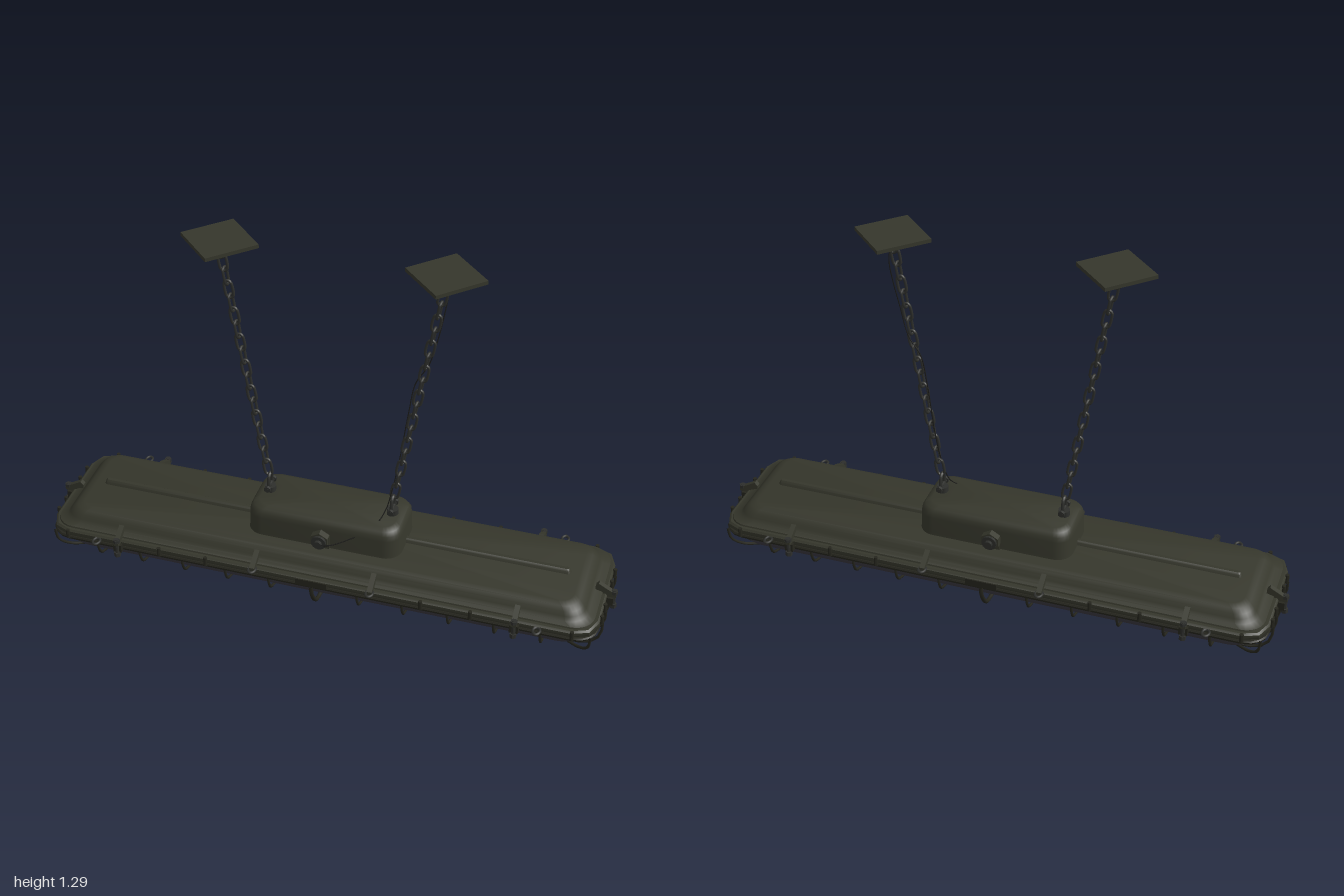
import * as THREE from 'three';
import { toCreasedNormals } from 'three/addons/utils/BufferGeometryUtils.js';

const V = (x, y, z) => new THREE.Vector3(x, y, z);
const mat = (name, color) => Object.assign(new THREE.MeshStandardMaterial({ color }), { name });

// Closed loft through rounded rectangles, listed bottom to top as [halfX, halfZ, cornerRadius, y]
function loft(sections, seg = 6, crease = 0.6) {
  const pos = [], idx = [];
  const n = 4 * (seg + 1);
  for (const [hx, hz, r, y] of sections) {
    for (let q = 0; q < 4; q++) {
      const sx = q === 0 || q === 3 ? 1 : -1, sz = q < 2 ? 1 : -1;
      for (let k = 0; k <= seg; k++) {
        const a = (q + k / seg) * Math.PI / 2;
        pos.push(sx * (hx - r) + r * Math.cos(a), y, sz * (hz - r) + r * Math.sin(a));
      }
    }
  }
  const last = sections.length - 1, c = (last + 1) * n;
  pos.push(0, sections[0][3], 0, 0, sections[last][3], 0);
  for (let j = 0; j < n; j++) {
    const k = (j + 1) % n;
    for (let i = 0; i < last; i++) {
      const a = i * n + j, b = i * n + k;
      idx.push(a, a + n, b, b, a + n, b + n);
    }
    idx.push(c, j, k, c + 1, last * n + k, last * n + j);
  }
  const g = new THREE.BufferGeometry();
  g.setAttribute('position', new THREE.Float32BufferAttribute(pos, 3));
  g.setIndex(idx);
  return toCreasedNormals(g, crease);
}

const wire = (pts, r, closed = false, steps = 28, sides = 6) =>
  new THREE.TubeGeometry(new THREE.CatmullRomCurve3(pts, closed, 'centripetal'), steps, r, sides, closed);

export function createModel() {
  const model = new THREE.Group();
  model.name = 'hangingLamp';
  const paint = mat('olivePaint', 0x35362b);
  const glass = mat('smokedGlass', 0x3a3840);
  const cageMetal = mat('darkCageMetal', 0x25251d);
  const steel = mat('chainSteel', 0x2d2e2b);
  const rubber = mat('blackRubber', 0x1c1c1a);

  const add = (name, geo, material, parent = model, x = 0, y = 0, z = 0) => {
    const m = new THREE.Mesh(geo, material);
    m.name = name;
    m.position.set(x, y, z);
    parent.add(m);
    return m;
  };
  const group = (name, parent = model) => {
    const g = new THREE.Group();
    g.name = name;
    parent.add(g);
    return g;
  };
  const cyl = (r, h, sides = 12) => toCreasedNormals(new THREE.CylinderGeometry(r, r, h, sides), 0.6);

  // Housing, rim, seal and glass
  add('housing', loft([
    [0.955, 0.218, 0.075, 0.15], [0.95, 0.212, 0.07, 0.165], [0.925, 0.197, 0.065, 0.172],
    [0.915, 0.188, 0.06, 0.185], [0.905, 0.18, 0.055, 0.198], [0.89, 0.168, 0.05, 0.21], [0.87, 0.15, 0.045, 0.216],
  ], 6, 0.75), paint);
  add('rim', loft([[0.962, 0.226, 0.075, 0.136], [0.966, 0.23, 0.078, 0.142],
    [0.966, 0.23, 0.078, 0.154], [0.96, 0.224, 0.075, 0.16]], 2), paint);
  add('seal', loft([[0.955, 0.219, 0.075, 0.122], [0.955, 0.219, 0.075, 0.138]], 4), rubber);
  add('lens', loft([
    [0.8, 0.07, 0.05, 0.037], [0.865, 0.125, 0.08, 0.042], [0.9, 0.162, 0.09, 0.053],
    [0.925, 0.186, 0.09, 0.071], [0.942, 0.203, 0.085, 0.097], [0.948, 0.21, 0.08, 0.126],
  ], 8, 1), glass);
  add('topRib', loft([[0.84, 0.016, 0.014, 0.212], [0.835, 0.012, 0.011, 0.226], [0.83, 0.006, 0.005, 0.231]], 4), paint);

  // Gear box on top with its cable glands
  add('gearBox', loft([
    [0.274, 0.12, 0.06, 0.205], [0.27, 0.116, 0.056, 0.225], [0.269, 0.115, 0.055, 0.285],
    [0.266, 0.111, 0.053, 0.302], [0.258, 0.102, 0.05, 0.316], [0.24, 0.085, 0.045, 0.323],
  ], 6, 0.7), paint);
  for (const s of [1, -1]) {
    const gland = group('cableGland');
    for (const [r, h, z, sides] of [[0.034, 0.03, 0.125, 6], [0.026, 0.012, 0.143, 16], [0.014, 0.016, 0.152, 12]])
      add('glandRing', cyl(r, h, sides), sides === 6 ? paint : steel, gland, 0, 0.253, s * z).rotation.x = Math.PI / 2;
    add('glandBase', new THREE.BoxGeometry(0.06, 0.05, 0.012), paint, gland, 0, 0.24, s * 0.118);
  }

  // Wire guard: cross hoops, long wires and corner wires
  const guard = group('wireGuard');
  const hoop = (x, r, low, out) => wire([
    V(x, 0.13, out), V(x, 0.095, out - 0.006), V(x, 0.06, out - 0.025), V(x, low + 0.012, out - 0.06),
    V(x, low, 0.11), V(x, low - 0.002, 0), V(x, low, -0.11),
    V(x, low + 0.012, 0.06 - out), V(x, 0.06, 0.025 - out), V(x, 0.095, 0.006 - out), V(x, 0.13, -out)], r, false, 36);
  for (let i = -5; i <= 5; i++) if (i) add('crossHoop', hoop(i * 0.157, 0.005, 0.032, 0.22), cageMetal, guard);
  add('middleHoop', hoop(0, 0.0075, 0.011, 0.232), cageMetal, guard);
  for (const z of [-0.123, -0.062, 0, 0.062, 0.123]) {
    const end = s => [V(s * 0.85, 0.031, z), V(s * 0.92, 0.035, z), V(s * 0.955, 0.055, z),
      V(s * 0.972, 0.09, z), V(s * 0.974, 0.135, z)];
    add('longWire', wire([...end(-1).reverse(), ...end(1)], 0.005, false, 60), cageMetal, guard);
  }
  for (const sx of [1, -1]) for (const sz of [1, -1])
    add('cornerWire', wire([V(sx * 0.95, 0.135, sz * 0.208), V(sx * 0.942, 0.085, sz * 0.2),
      V(sx * 0.91, 0.045, sz * 0.165), V(sx * 0.85, 0.032, sz * 0.123)], 0.005), cageMetal, guard);
  add('guardRail', loft([[0.965, 0.225, 0.075, 0.118], [0.968, 0.228, 0.075, 0.127], [0.965, 0.225, 0.075, 0.132]], 4), cageMetal, guard);

  // Clamp facing +z, with the rim edge at its origin
  const lugShape = new THREE.Shape([[-0.045, 0.04], [-0.035, 0.052], [0.012, 0.026], [0.026, 0.018],
    [0.026, 0.006], [-0.045, 0.002]].map(p => new THREE.Vector2(...p)));
  const lugGeo = new THREE.ExtrudeGeometry(lugShape, { depth: 0.018, bevelEnabled: false })
    .translate(0, 0, -0.009).rotateY(-Math.PI / 2);
  const clamp = (x, z, turn, scale = 1) => {
    const g = group('clamp');
    g.position.set(x, 0.145, z);
    g.rotation.y = turn;
    g.scale.setScalar(scale);
    add('lug', lugGeo, paint, g);
    add('swingBolt', cyl(0.007, 0.075, 8), steel, g, 0, -0.008, 0.018);
    add('topNut', cyl(0.012, 0.012, 6), steel, g, 0, 0.022, 0.018);
    add('lowNut', cyl(0.012, 0.016, 6), steel, g, 0, -0.034, 0.018);
    add('catch', new THREE.BoxGeometry(0.03, 0.03, 0.024), cageMetal, g, 0, -0.012, 0.006);
  };
  const eyeGeo = new THREE.TorusGeometry(0.012, 0.0045, 6, 16).rotateX(Math.PI / 2).scale(1, 1, 1.4);
  for (const s of [1, -1]) {
    for (const x of [-0.7, 0.7]) {
      clamp(x, s * 0.226, s > 0 ? 0 : Math.PI);
      add('eyelet', eyeGeo, steel, model, x * 1.108, 0.15, s * 0.245);
    }
    for (const x of [-0.207, 0.207]) {
      add('hingeLug', lugGeo, paint, model, x, 0.15, s * 0.218).rotation.y = s > 0 ? 0 : Math.PI;
      add('hingeEye', eyeGeo, steel, model, x, 0.16, s * 0.24);
    }
    clamp(s * 0.97, 0, s * Math.PI / 2);
    add('middleCatch', new THREE.BoxGeometry(0.11, 0.024, 0.01), cageMetal, model, 0, 0.142, s * 0.23);
    // Small studs along the rim
    for (const x of [-0.89, -0.55, -0.38, 0.38, 0.55, 0.89]) add('rimStud', cyl(0.007, 0.034, 8), cageMetal, model, x, 0.145, s * 0.23);
    for (const z of [-0.123, -0.062, 0.062, 0.123]) add('rimStud', cyl(0.007, 0.034, 8), cageMetal, model, s * 0.97, 0.145, z);
  }

  // Chains, shackles and ceiling plates
  const linkPts = [];
  for (let k = 0; k < 12; k++) {
    const a = (k + 0.5) / 12 * Math.PI * 2;
    linkPts.push(V(0.0125 * Math.cos(a), 0.0125 * Math.sin(a) + Math.sign(Math.sin(a)) * 0.019, 0));
  }
  const linkGeo = wire(linkPts, 0.005, true, 24);
  const count = 17;
  for (const s of [1, -1]) {
    const chain = group(s > 0 ? 'leftChain' : 'rightChain');
    const from = V(s * 0.226, 0.42, 0), to = V(s * 0.368, 1.255, 0);
    const tilt = Math.atan2(to.x - from.x, to.y - from.y);
    for (let i = 0; i < count; i++) {
      const p = from.clone().lerp(to, i / count);
      const holder = group('linkHolder', chain);
      holder.position.copy(p);
      holder.rotation.z = -tilt;
      add('chainLink', linkGeo, steel, holder).rotation.y = i % 2 ? Math.PI / 2 - 0.1 : 0.1;
    }
    // Shackle on the gear box
    add('shackle', wire([V(0, 0.325, 0.016), V(0, 0.365, 0.018), V(0, 0.39, 0.01), V(0, 0.396, 0),
      V(0, 0.39, -0.01), V(0, 0.365, -0.018), V(0, 0.325, -0.016)], 0.006), steel, chain, s * 0.218);
    add('shackleBolt', cyl(0.006, 0.076, 8), steel, chain, s * 0.218, 0.347, 0).rotation.x = Math.PI / 2;
    for (const z of [-0.032, 0.032])
      add('boltNut', cyl(0.012, 0.01, 6), steel, chain, s * 0.218, 0.347, z).rotation.x = Math.PI / 2;
    add('shackleFoot', cyl(0.02, 0.03), steel, chain, s * 0.218, 0.328, 0);
    // Ceiling plate, disc and hook
    add('ceilingPlate', cyl(0.131, 0.013, 4), paint, chain, s * 0.368, 1.2835, 0);
    add('ceilingDisc', cyl(0.068, 0.014, 28), paint, chain, s * 0.368, 1.271, 0);
    add('ceilingHook', wire([V(-0.017, 1.27, 0), V(-0.017, 1.24, 0), V(-0.01, 1.224, 0), V(0, 1.219, 0),
      V(0.01, 1.224, 0), V(0.017, 1.24, 0), V(0.017, 1.27, 0)], 0.0045), steel, chain, s * 0.368);
  }

  // Supply cable from the front gland up along the left chain
  add('supplyCable', wire([
    V(0, 0.253, 0.158), V(0.04, 0.258, 0.155), V(0.1, 0.275, 0.125), V(0.17, 0.305, 0.075), V(0.2, 0.35, 0.03),
    V(0.215, 0.42, 0.006), V(0.235, 0.55, -0.01), V(0.262, 0.75, -0.006), V(0.28, 0.86, -0.012),
    V(0.318, 0.93, -0.018), V(0.345, 1.03, -0.014), V(0.362, 1.13, -0.026), V(0.37, 1.2, -0.032),
    V(0.372, 1.24, -0.018), V(0.37, 1.27, -0.004)], 0.002, false, 90, 5), rubber);

  return model;
}
